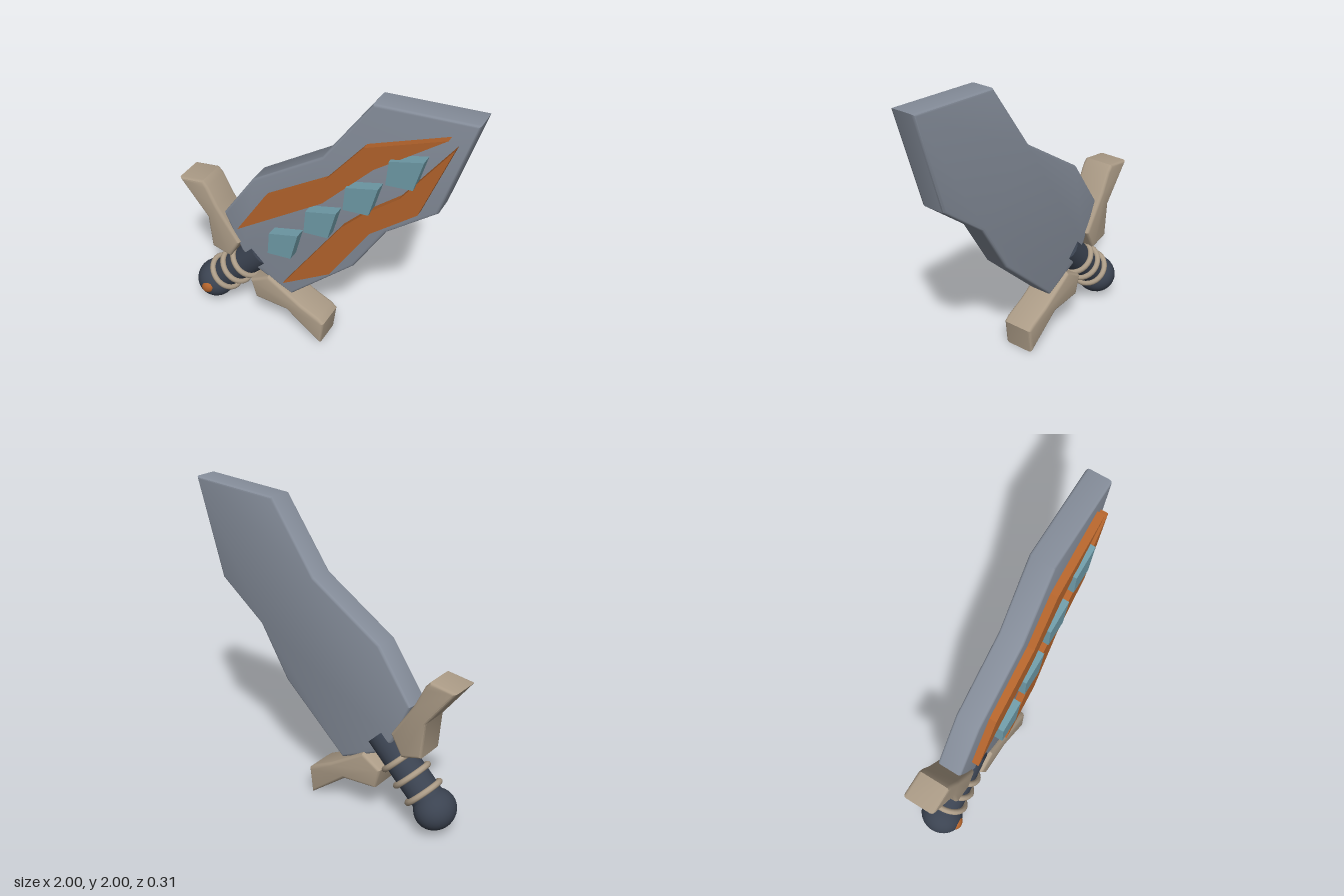
import * as THREE from 'three';
import { toCreasedNormals } from 'three/addons/utils/BufferGeometryUtils.js';

const paint = (color) => new THREE.MeshStandardMaterial({ color });
const steel = paint(0x858d9a);
const copper = paint(0xb4642c);
const glass = paint(0x6f9ba8);
const bone = paint(0xac9c87);
const leather = paint(0x3b4351);

const MID_Z = -0.005;

// Flat plate with the given outline, from z0 to z1, optionally with rounded rims
function plate(name, points, z0, z1, bevel, material) {
  const shape = new THREE.Shape(points.map(([x, y]) => new THREE.Vector2(x, y)));
  let geometry = new THREE.ExtrudeGeometry(shape, {
    depth: z1 - z0 - 2 * bevel,
    bevelEnabled: bevel > 0,
    bevelSize: bevel,
    bevelThickness: bevel,
    bevelOffset: -bevel,
    bevelSegments: 3,
  });
  geometry.translate(0, 0, z0 + bevel);
  if (bevel > 0) geometry = toCreasedNormals(geometry, 0.6);
  const mesh = new THREE.Mesh(geometry, material);
  mesh.name = name;
  return mesh;
}

export function createModel() {
  const sword = new THREE.Group();
  sword.name = 'sword';

  // Blade
  sword.add(plate('blade', [
    [-0.56, 0.58], [-0.44, 0.46], [-0.18, 0.34], [0.275, 0.76], [0.485, 1.105], [0.805, 1.355],
    [1.0, 2.0], [0.37, 1.965], [0.05, 1.515], [-0.445, 1.197], [-0.68, 0.855],
  ], -0.09, 0.08, 0.018, steel));

  // Raised inlay strips on the front face
  sword.add(plate('upperInlay', [
    [-0.55, 0.795], [0.08, 1.22], [0.41, 1.57], [0.845, 1.895],
    [0.345, 1.7], [0.1, 1.4], [-0.33, 1.13],
  ], 0.07, 0.13, 0, copper));
  sword.add(plate('lowerInlay', [
    [-0.215, 0.46], [0.13, 0.675], [0.4, 1.1], [0.7, 1.345],
    [0.89, 1.85], [0.58, 1.42], [0.375, 1.25], [0.21, 1.08],
  ], 0.07, 0.13, 0, copper));

  // Row of gems
  for (let i = 0; i < 4; i++) {
    const gem = plate('gem', [[0.5, 1.51], [0.67, 1.525], [0.725, 1.73], [0.515, 1.675]],
      0.07, 0.155, 0, glass);
    gem.position.set(-0.269 * i, -0.269 * i, 0);
    sword.add(gem);
  }

  // Guard arms, mirrored across the sword's axis y = x + 1
  const arm = [
    [-1.0, 1.05], [-0.8, 0.79], [-0.78, 0.55], [-0.64, 0.51],
    [-0.56, 0.65], [-0.72, 0.9], [-0.785, 1.035], [-0.82, 1.075],
  ];
  const mirrored = arm.map(([x, y]) => [y - 1, x + 1]).reverse();
  sword.add(plate('upperGuard', arm, -0.115, 0.105, 0.022, bone));
  sword.add(plate('lowerGuard', mirrored, -0.115, 0.105, 0.022, bone));

  // Hilt, built upright from the pommel centre and then tilted along the axis
  const hilt = new THREE.Group();
  hilt.name = 'hilt';
  hilt.position.set(-0.838, 0.168, MID_Z);
  hilt.rotation.z = -Math.PI / 4;
  sword.add(hilt);

  const grip = new THREE.Mesh(new THREE.CylinderGeometry(0.108, 0.108, 0.575, 20), leather);
  grip.name = 'grip';
  grip.position.y = 0.2875;
  hilt.add(grip);

  const pommel = new THREE.Mesh(new THREE.SphereGeometry(0.145, 28, 18), leather);
  pommel.name = 'pommel';
  pommel.scale.set(0.93, 0.9, 1);
  hilt.add(pommel);

  for (const y of [0.125, 0.252, 0.375]) {
    const ring = new THREE.Mesh(new THREE.TorusGeometry(0.12, 0.02, 10, 32), bone);
    ring.name = 'gripRing';
    ring.rotation.x = Math.PI / 2;
    ring.position.y = y;
    hilt.add(ring);
  }

  // Stud set into the front of the pommel
  const stud = new THREE.Mesh(new THREE.SphereGeometry(0.05, 18, 12), copper);
  stud.name = 'pommelStud';
  stud.scale.set(0.85, 1, 0.6);
  stud.position.z = 0.127;
  hilt.add(stud);

  return sword;
}
